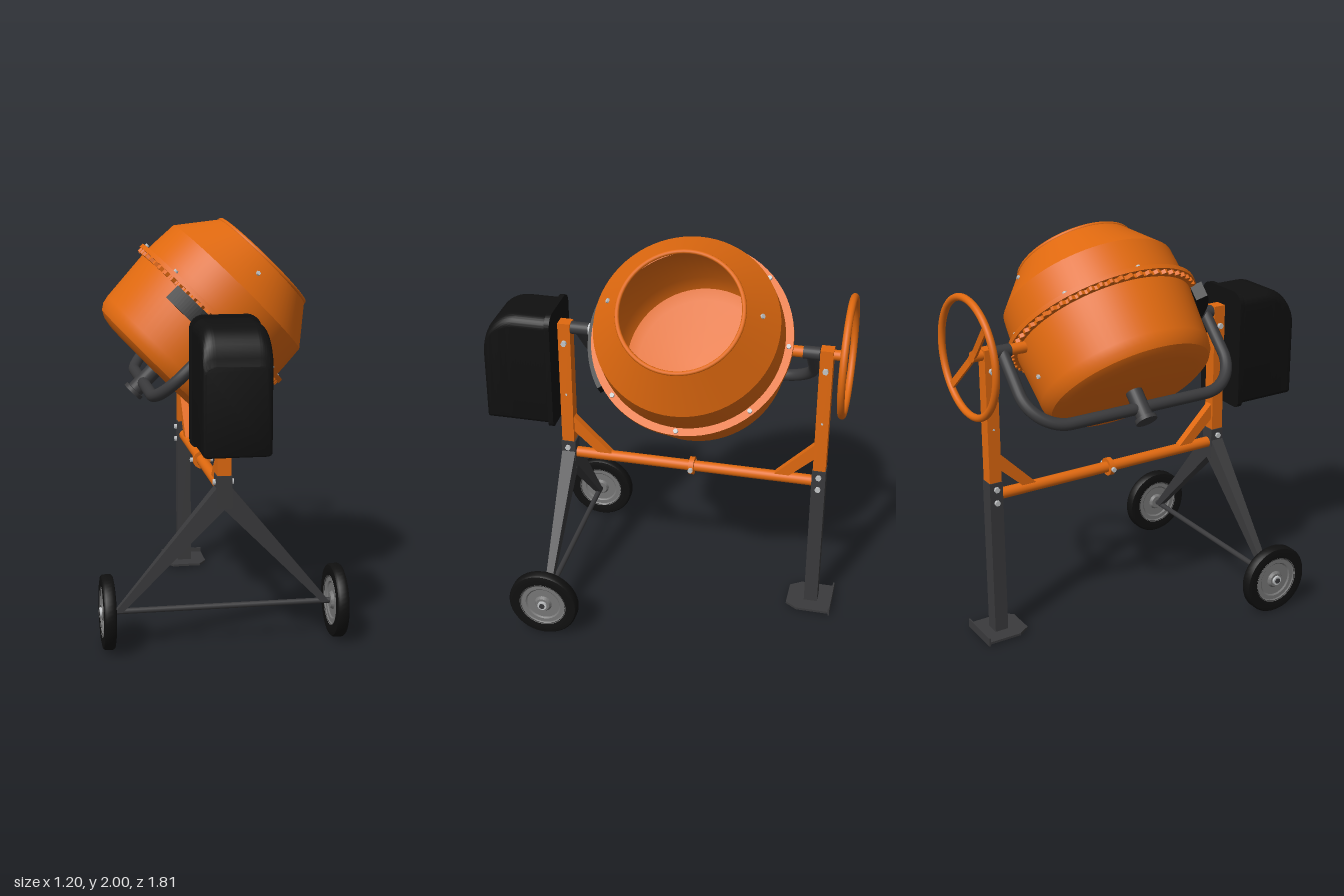
import * as THREE from 'three';
import { toCreasedNormals } from 'three/addons/utils/BufferGeometryUtils.js';

const material = (name, color) => {
  const m = new THREE.MeshStandardMaterial({ color });
  m.name = name;
  return m;
};

export function createModel() {
  const orange = material('orange paint', 0xe0690f);
  const dark = material('dark grey steel', 0x3a3a3c);
  const black = material('black plastic', 0x101010);
  const grey = material('grey rim', 0x777777);
  const silver = material('silver bolts', 0xc4c6c8);

  const model = new THREE.Group();
  model.name = 'concreteMixer';
  const V = (x, y, z) => new THREE.Vector3(x, y, z);
  const UP = V(0, 1, 0);

  const add = (parent, name, geo, mat, x = 0, y = 0, z = 0) => {
    const mesh = new THREE.Mesh(geo, mat);
    mesh.name = name;
    mesh.position.set(x, y, z);
    parent.add(mesh);
    return mesh;
  };
  const box = (parent, name, mat, w, h, d, x, y, z) =>
    add(parent, name, new THREE.BoxGeometry(w, h, d), mat, x, y, z);
  // Cylinder from point a to point b
  const rod = (parent, name, mat, r, a, b, sides = 24) => {
    const dir = b.clone().sub(a);
    const mesh = add(parent, name, new THREE.CylinderGeometry(r, r, dir.length(), sides), mat);
    mesh.position.copy(a).add(b).multiplyScalar(0.5);
    mesh.quaternion.setFromUnitVectors(UP, dir.normalize());
    return mesh;
  };
  const bolt = (parent, p, n, r = 0.013, h = 0.02) =>
    rod(parent, 'bolt', silver, r, p, p.clone().addScaledVector(n.normalize(), h), 6);
  const lathe = (points, seg = 64, crease = 0.45) => toCreasedNormals(
    new THREE.LatheGeometry(points.map(p => new THREE.Vector2(...p)), seg), crease);
  const polygon = points => new THREE.Shape(points.map(p => new THREE.Vector2(...p)));
  const extrude = (shape, depth, extra = {}) =>
    new THREE.ExtrudeGeometry(shape, { depth, bevelEnabled: false, curveSegments: 12, ...extra });

  // Tilted drum: outer wall up to the mouth, then back down the inside
  const drum = new THREE.Group();
  drum.name = 'drum';
  drum.position.set(0.047, 1.517, -0.13);
  drum.rotation.z = -Math.PI / 4;
  model.add(drum);
  add(drum, 'drumShell', lathe([
    [0, -0.4], [0.33, -0.4], [0.375, -0.39], [0.41, -0.37], [0.43, -0.34], [0.438, -0.3],
    [0.457, -0.02], [0.457, 0.05], [0.448, 0.187], [0.297, 0.378], [0.287, 0.37],
    [0.436, 0.183], [0.445, 0.05], [0.445, -0.02], [0.426, -0.3], [0.39, -0.37],
    [0.33, -0.388], [0, -0.388],
  ], 72), orange);
  const lip = add(drum, 'mouthRim', new THREE.TorusGeometry(0.296, 0.011, 10, 64), orange, 0, 0.374, 0);
  lip.rotation.x = Math.PI / 2;
  add(drum, 'drumFlange', lathe([
    [0.44, -0.01], [0.495, -0.01], [0.495, 0.013], [0.44, 0.013],
  ], 72), orange);

  // Toothed ring under the flange
  const teeth = [];
  for (let i = 0; i < 240; i++) {
    const a = (i / 240) * Math.PI * 2, r = i % 4 < 2 ? 0.488 : 0.472;
    teeth.push([r * Math.cos(a), r * Math.sin(a)]);
  }
  const gear = polygon(teeth);
  gear.holes.push(new THREE.Path().absarc(0, 0, 0.45, 0, Math.PI * 2, true));
  const ring = add(drum, 'gearRing', extrude(gear, 0.02), orange, 0, -0.01, 0);
  ring.rotation.x = Math.PI / 2;

  // Drum bolts
  for (let i = 0; i < 8; i++) {
    const a = (i * Math.PI) / 4;
    bolt(drum, V(0.475 * Math.cos(a), 0.012, 0.475 * Math.sin(a)), V(0, 1, 0), 0.012, 0.014);
  }
  for (const s of [-1, 1]) {
    bolt(drum, V(-0.046, 0.286, s * 0.364), V(-0.08, 0.62, s * 0.78), 0.012, 0.012);
    bolt(drum, V(0, -0.22, s * 0.442), V(0, 0, s), 0.012, 0.012);
  }

  // Curved black guard over the drive pinion
  const arc = new THREE.Shape();
  arc.absarc(0, 0, 0.52, -2.18, -0.96, false);
  arc.absarc(0, 0, 0.46, -0.96, -2.18, true);
  const guard = add(drum, 'pinionGuard', extrude(arc, 0.08, { curveSegments: 20 }), black, 0, -0.105, 0);
  guard.rotation.x = -Math.PI / 2;

  // Bent tube yoke carrying the drum
  const yoke = new THREE.Group();
  yoke.name = 'yoke';
  yoke.position.set(0, 1.48, -0.13);
  yoke.rotation.z = -Math.PI / 4;
  model.add(yoke);
  const path = new THREE.CurvePath();
  const half = 0.58, deep = -0.43, bend = 0.2;
  path.add(new THREE.LineCurve3(V(0, 0, half), V(0, deep + bend, half)));
  path.add(new THREE.CubicBezierCurve3(V(0, deep + bend, half), V(0, deep + bend * 0.45, half),
    V(0, deep, half - bend * 0.45), V(0, deep, half - bend)));
  path.add(new THREE.LineCurve3(V(0, deep, half - bend), V(0, deep, bend - half)));
  path.add(new THREE.CubicBezierCurve3(V(0, deep, bend - half), V(0, deep, bend * 0.45 - half),
    V(0, deep + bend * 0.45, -half), V(0, deep + bend, -half)));
  path.add(new THREE.LineCurve3(V(0, deep + bend, -half), V(0, 0, -half)));
  add(yoke, 'yokeTube', new THREE.TubeGeometry(path, 100, 0.03, 16), dark);
  rod(yoke, 'yokeBearing', dark, 0.042, V(0, -0.34, 0), V(0, -0.49, 0));
  rod(yoke, 'bearingCap', dark, 0.055, V(0, -0.485, 0), V(0, -0.505, 0));

  // Pivot collars, pins and the wheel shaft
  rod(model, 'frontCollar', dark, 0.032, V(0, 1.48, 0.4), V(0, 1.48, 0.49));
  rod(model, 'rearCollar', dark, 0.032, V(0, 1.48, -0.67), V(0, 1.48, -0.75));
  rod(model, 'frontPin', silver, 0.03, V(0, 1.48, 0.34), V(0, 1.48, 0.4));
  rod(model, 'rearPin', orange, 0.028, V(0, 1.48, -0.59), V(0, 1.48, -0.67));
  rod(model, 'wheelShaft', orange, 0.026, V(0, 1.48, -0.81), V(0, 1.48, -0.868));

  // Upright posts and the bar between them
  box(model, 'frontPost', orange, 0.066, 0.75, 0.064, 0, 1.135, 0.522);
  box(model, 'rearPost', orange, 0.066, 0.79, 0.064, 0, 1.115, -0.785);
  rod(model, 'crossBar', orange, 0.028, V(0, 0.757, 0.5), V(0, 0.757, -0.76));
  rod(model, 'crossBarClamp', orange, 0.046, V(0, 0.757, -0.117), V(0, 0.757, -0.143));
  for (const s of [-1, 1]) bolt(model, V(s * 0.035, 0.757, -0.13), V(s, 0, 0), 0.013, 0.025);
  const brace = polygon([[0.49, 0.975], [0.295, 0.78], [0.37, 0.78], [0.49, 0.89]]);
  const braceGeo = extrude(brace, 0.04);
  braceGeo.translate(0, 0, -0.02);
  add(model, 'frontBrace', braceGeo, orange).rotation.y = -Math.PI / 2;
  add(model, 'rearBrace', braceGeo, orange, 0, 0, -0.263).rotation.y = Math.PI / 2;

  // Rear leg and its foot with a raised lip
  box(model, 'rearLeg', dark, 0.074, 0.83, 0.07, 0, 0.42, -0.785);
  const foot = polygon([[-0.075, 0.66], [0.075, 0.66], [0.115, 0.72], [0.115, 0.895], [-0.115, 0.895], [-0.115, 0.72]]);
  add(model, 'foot', extrude(foot, 0.012), dark, 0, 0.013, 0).rotation.x = -Math.PI / 2;
  box(model, 'footLip', dark, 0.23, 0.045, 0.008, 0, 0.026, -0.891);

  // Front legs, thinning toward the axle
  box(model, 'legSocket', dark, 0.076, 0.16, 0.074, 0, 0.755, 0.52);
  for (const s of [-1, 1]) {
    const geo = extrude(polygon([[0, 0.8], [s * 0.038, 0.775], [s * 0.525, 0.18], [s * 0.485, 0.18], [0, 0.67]]), 1);
    const p = geo.attributes.position;
    for (let i = 0; i < p.count; i++) {
      const t = Math.abs(p.getX(i)) / 0.525;
      p.setZ(i, 0.52 + (p.getZ(i) - 0.5) * (0.074 - 0.044 * t));
    }
    geo.computeVertexNormals();
    add(model, 'frontLeg', geo, dark);
  }

  // Axle and wheels
  rod(model, 'axle', dark, 0.014, V(-0.6, 0.183, 0.52), V(0.6, 0.183, 0.52));
  const tyre = lathe([[0.118, -0.026], [0.15, -0.031], [0.172, -0.027], [0.179, -0.018], [0.179, 0.018],
    [0.172, 0.027], [0.15, 0.031], [0.118, 0.026], [0.118, -0.026]], 48, 0.7);
  const rim = lathe([[0, -0.028], [0.035, -0.028], [0.045, -0.014], [0.085, -0.014], [0.092, -0.02], [0.112, -0.02], [0.122, -0.028],
    [0.122, 0.028], [0.112, 0.02], [0.092, 0.02], [0.085, 0.014], [0.045, 0.014], [0.035, 0.028], [0, 0.028]], 48);
  for (const s of [-1, 1]) {
    const wheel = new THREE.Group();
    wheel.name = 'wheel';
    wheel.position.set(s * 0.557, 0.183, 0.52);
    wheel.rotation.z = -s * Math.PI / 2;
    model.add(wheel);
    add(wheel, 'tyre', tyre, black);
    add(wheel, 'rim', rim, grey);
    rod(wheel, 'hub', silver, 0.024, V(0, 0.02, 0), V(0, 0.038, 0), 16);
  }

  // Motor housing: rounded outline whose top curves down toward the front
  const rounded = (x, y0, y1, rb, rt) => {
    const s = new THREE.Shape();
    s.absarc(x - rb, y0 + rb, rb, -Math.PI / 2, 0);
    s.absarc(x - rt, y1 - rt, rt, 0, Math.PI / 2);
    s.absarc(-x + rt, y1 - rt, rt, Math.PI / 2, Math.PI);
    s.absarc(-x + rb, y0 + rb, rb, Math.PI, Math.PI * 1.5);
    return s;
  };
  const hood = extrude(rounded(0.158, 1.0, 1.585, 0.025, 0.06), 0.31,
    { steps: 24, bevelEnabled: true, bevelSize: 0.015, bevelOffset: -0.015, bevelThickness: 0.015, bevelSegments: 3 });
  hood.translate(0, 0, 0.58);
  const hp = hood.attributes.position;
  for (let i = 0; i < hp.count; i++) {
    const dz = Math.min(0.165, Math.max(0, hp.getZ(i) - 0.735));
    const drop = 0.165 - Math.sqrt(0.165 ** 2 - dz ** 2);
    hp.setY(i, 1 + (hp.getY(i) - 1) * (1 - drop / 0.585));
  }
  hood.deleteAttribute('normal');
  add(model, 'motorHousing', toCreasedNormals(hood, 0.6), black);
  add(model, 'motorBackPlate', toCreasedNormals(extrude(rounded(0.167, 0.985, 1.6, 0.03, 0.065), 0.026), 0.6),
    black, 0, 0, 0.554);

  // Hand wheel with one dished bar across it
  const hand = new THREE.Group();
  hand.name = 'handWheel';
  hand.position.set(0, 1.48, -0.886);
  hand.rotation.z = -Math.PI / 4;
  model.add(hand);
  add(hand, 'handWheelRing', new THREE.TorusGeometry(0.285, 0.018, 12, 64), orange);
  box(hand, 'handWheelHub', orange, 0.1, 0.036, 0.012, 0, 0, 0.024);
  for (const s of [-1, 1]) {
    const spoke = box(hand, 'handWheelSpoke', orange, 0.245, 0.036, 0.012, s * 0.165, 0, 0.012);
    spoke.rotation.y = s * 0.1;
  }

  // Bolts on the posts and legs
  for (const s of [-1, 1]) {
    for (const [y, z] of [[1.405, 0.522], [0.8, 0.522], [1.405, -0.785], [0.8, -0.785], [0.73, -0.785]])
      bolt(model, V(s * 0.032, y, z), V(s, 0, 0), 0.015, 0.018);
    for (const z of [0.522, -0.785]) bolt(model, V(s * 0.032, 1.11, z), V(s, 0, 0), 0.006, 0.004);
  }
  return model;
}
